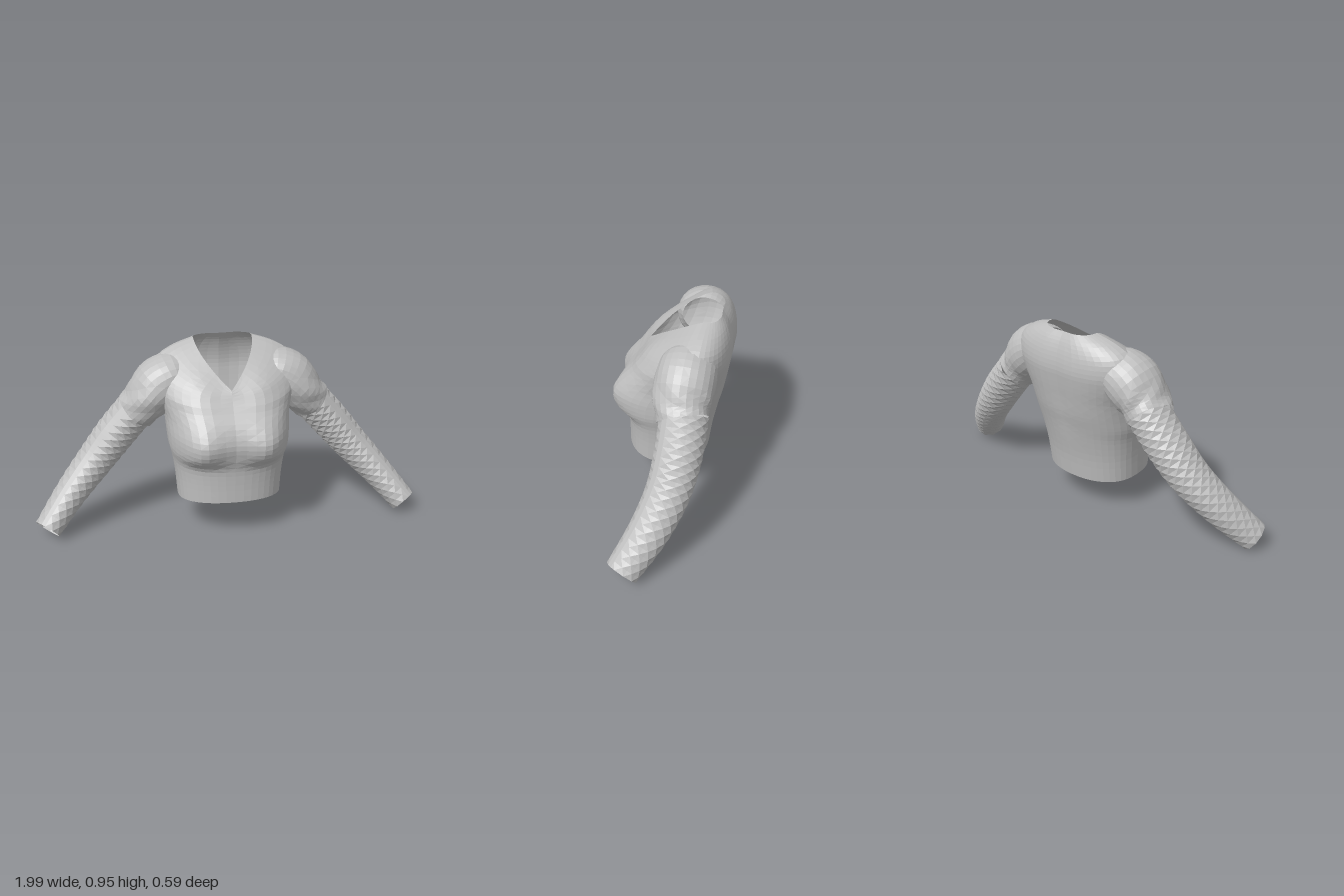
import * as THREE from 'three';

const fabric = new THREE.MeshStandardMaterial({ color: 0xbebebe, flatShading: true, side: THREE.DoubleSide });
fabric.name = 'grey fabric';

// Skin a list of closed rings (arrays of Vector3) with triangles
function skin(name, rings, flip = false) {
  const n = rings[0].length, index = [];
  for (let i = 0; i < rings.length - 1; i++) {
    for (let j = 0; j < n; j++) {
      const a = i * n + j, b = i * n + (j + 1) % n, c = b + n, d = a + n;
      const odd = (i + j) % 2;
      const tris = odd ? [a, b, c, a, c, d] : [a, b, d, b, c, d];
      if (flip) tris.reverse();
      index.push(...tris);
    }
  }
  const g = new THREE.BufferGeometry().setFromPoints(rings.flat());
  g.setIndex(index);
  const flat = g.toNonIndexed();
  flat.computeVertexNormals();
  const mesh = new THREE.Mesh(flat, fabric);
  mesh.name = name;
  return mesh;
}

const curve = pts => new THREE.CatmullRomCurve3(pts.map(p => new THREE.Vector3(...p)));
const bell = (v, centre, width) => Math.exp(-Math.pow((v - centre) / width, 2));

// Bodice: centre-front, side and centre-back lines, hem to neckline
const front = curve([[0, .2, .23], [0, .3, .23], [0, .38, .235], [0, .44, .25], [0, .52, .262], [0, .6, .237],
  [0, .67, .185], [0, .71, .155], [0, .735, .138], [0, .75, .128], [0, .76, .12]]);
const side = curve([[.265, .175, .02], [.275, .3, .01], [.29, .4, 0], [.305, .46, -.01], [.312, .54, -.03], [.32, .62, -.07],
  [.345, .7, -.1], [.36, .79, -.12], [.34, .868, -.13], [.26, .918, -.145], [.15, .952, -.16]]);
const back = curve([[0, .155, -.18], [0, .28, -.198], [0, .4, -.225], [0, .46, -.24], [0, .53, -.26], [0, .62, -.278],
  [0, .7, -.292], [0, .77, -.3], [0, .84, -.292], [0, .9, -.272], [0, .945, -.245]]);

function makeBodice() {
  const rows = 32, cols = 44, rings = [];
  for (let i = 0; i <= rows; i++) {
    const t = i / rows, F = front.getPoint(t), S = side.getPoint(t), B = back.getPoint(t);
    const neck = Math.max(0, (t - .65) / .35);
    const ring = [];
    for (let j = 0; j < cols; j++) {
      const a = j / cols * Math.PI * 2, c = Math.cos(a), s = Math.sin(a);
      const E = c >= 0 ? F : B;
      const fromMid = Math.acos(Math.min(1, Math.abs(c)));
      const round = Math.pow(Math.abs(c), .78);
      const vee = c >= 0 ? 1 - fromMid / (Math.PI / 2) : round;
      const w = THREE.MathUtils.lerp(round, vee, neck);
      const wy = Math.pow(w, 1 + .3 * neck);
      const x = S.x * Math.sign(s) * Math.pow(Math.abs(s), .92);
      const y = S.y + (E.y - S.y) * wy;
      let z = S.z + (E.z - S.z) * w;
      if (c > 0) {
        // bust fullness with a crease underneath, and a rounded upper chest
        const lift = y < .51 ? Math.exp(-Math.pow((.51 - y) / .1, 4)) : bell(y, .51, .125);
        z += .06 * bell(Math.abs(x), .175, .1) * lift;
        z += .03 * bell(Math.abs(x), .16, .1) * bell(y, .77, .1);
      } else {
        // spine hollow
        z += .012 * bell(x, 0, .06) * THREE.MathUtils.smoothstep(y, .3, .65);
      }
      ring.push(new THREE.Vector3(x, y, z));
    }
    rings.push(ring);
  }
  return skin('bodice', rings);
}

// Tube of varying elliptical section; bump(i, j, angle) scales the radius
function makeTube(name, sign, pts, radii, rows, cols, bump) {
  const path = curve(pts), size = curve(radii), zAxis = new THREE.Vector3(0, 0, 1), rings = [];
  for (let i = 0; i <= rows; i++) {
    const t = i / rows, p = path.getPoint(t), T = path.getTangent(t), r = size.getPoint(t);
    const U = zAxis.clone().cross(T).normalize(), W = T.clone().cross(U);
    const ring = [];
    for (let j = 0; j < cols; j++) {
      const a = j / cols * Math.PI * 2, k = bump(i, j, a);
      const v = p.clone().addScaledVector(U, Math.cos(a) * r.x * k).addScaledVector(W, Math.sin(a) * r.y * k);
      v.x *= sign;
      ring.push(v);
    }
    rings.push(ring);
  }
  return skin(name, rings, sign < 0);
}

export function createModel() {
  const group = new THREE.Group();
  group.name = 'croppedTop';
  group.add(makeBodice());

  for (const [label, sign] of [['left', 1], ['right', -1]]) {
    // shoulder cap growing out of the bodice, with soft folds near its lower edge
    group.add(makeTube(label + 'ShoulderCap', sign,
      [[.2, .79, -.115], [.265, .773, -.11], [.33, .735, -.105], [.39, .675, -.1], [.425, .635, -.105], [.455, .603, -.115]],
      [[.09, .11, 0], [.125, .14, 0], [.137, .147, 0], [.12, .142, 0], [.11, .13, 0], [.11, .124, 0]],
      14, 26, (i, j, a) => 1 + .025 * Math.sin(5 * a + i * .9) * (i > 7 ? 1 : .3)));

    // quilted long sleeve: staggered facets with a plain strip along the front seam
    group.add(makeTube(label + 'Sleeve', sign,
      [[.44, .62, -.12], [.56, .485, -.112], [.675, .35, -.085], [.805, .21, -.018], [.94, .057, .088]],
      [[.1, .115, 0], [.1, .113, 0], [.092, .106, 0], [.08, .096, 0], [.067, .08, 0]],
      30, 20, (i, j) => (j === 2 || j === 3) ? 1 : (i + j) % 2 ? 1.03 : .97));
  }
  return group;
}
